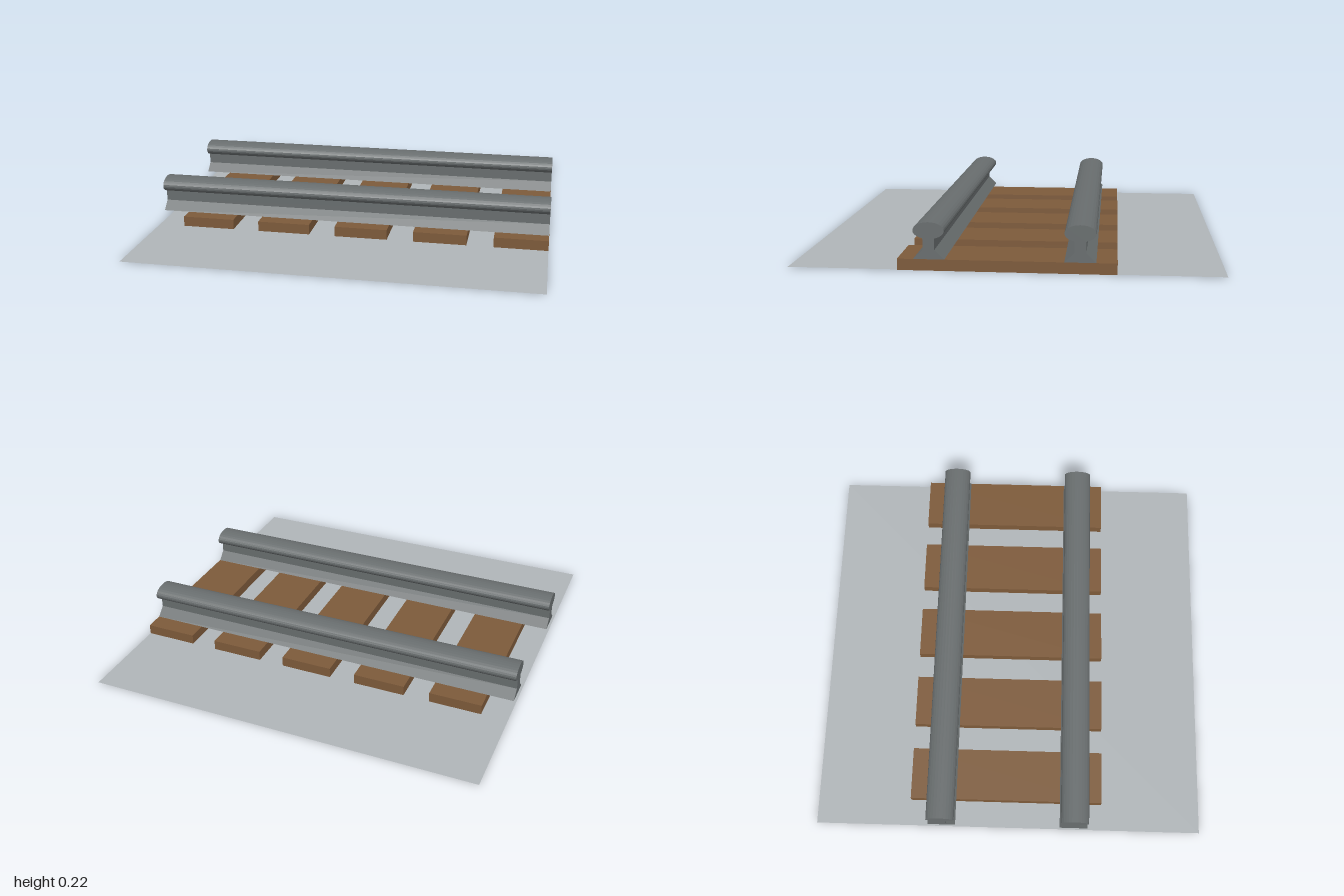
import * as THREE from 'three';

const mat = (name, color, side = THREE.FrontSide) => {
  const m = new THREE.MeshStandardMaterial({ color, side });
  m.name = name;
  return m;
};

// Rail cross-section: sloped foot, narrow web and elliptical head
function railProfile() {
  const web = 0.027, headW = 0.072, headH = 0.039, headY = 0.186;
  const shape = new THREE.Shape();
  shape.moveTo(-0.072, 0.053);
  shape.lineTo(0.072, 0.053);
  shape.lineTo(web, 0.097);
  const start = -Math.acos(web / headW), end = Math.PI - start;
  const steps = 24;
  for (let i = 0; i <= steps; i++) {
    const a = start + (end - start) * i / steps;
    shape.lineTo(Math.cos(a) * headW, headY + Math.sin(a) * headH);
  }
  shape.lineTo(-web, 0.097);
  shape.closePath();
  return shape;
}

export function createModel() {
  const group = new THREE.Group();
  group.name = 'railwayTrack';
  const gravel = mat('gravel grey', 0xb0b5b8, THREE.DoubleSide);
  const wood = mat('sleeper brown', 0x7d5a3a);
  const steel = mat('rail steel', 0x686d6e);

  const add = (name, geometry, material, x, y, z) => {
    const mesh = new THREE.Mesh(geometry, material);
    mesh.name = name;
    mesh.position.set(x, y, z);
    group.add(mesh);
  };

  // Flat ground sheet, just above the sleeper undersides
  add('ground', new THREE.PlaneGeometry(2, 2).rotateX(-Math.PI / 2), gravel, 0, 0.002, 0);

  // Five evenly spaced wooden sleepers
  const sleeper = new THREE.BoxGeometry(0.267, 0.053, 1);
  for (let i = 0; i < 5; i++) {
    add(`sleeper${i + 1}`, sleeper, wood, -0.733 + i * 0.4, 0.0265, -0.012);
  }

  // Two rails running along x
  const rail = new THREE.ExtrudeGeometry(railProfile(), { depth: 2, bevelEnabled: false });
  rail.translate(0, 0, -1).rotateY(Math.PI / 2);
  add('frontRail', rail, steel, 0, 0, 0.342);
  add('backRail', rail, steel, 0, 0, -0.345);

  return group;
}
